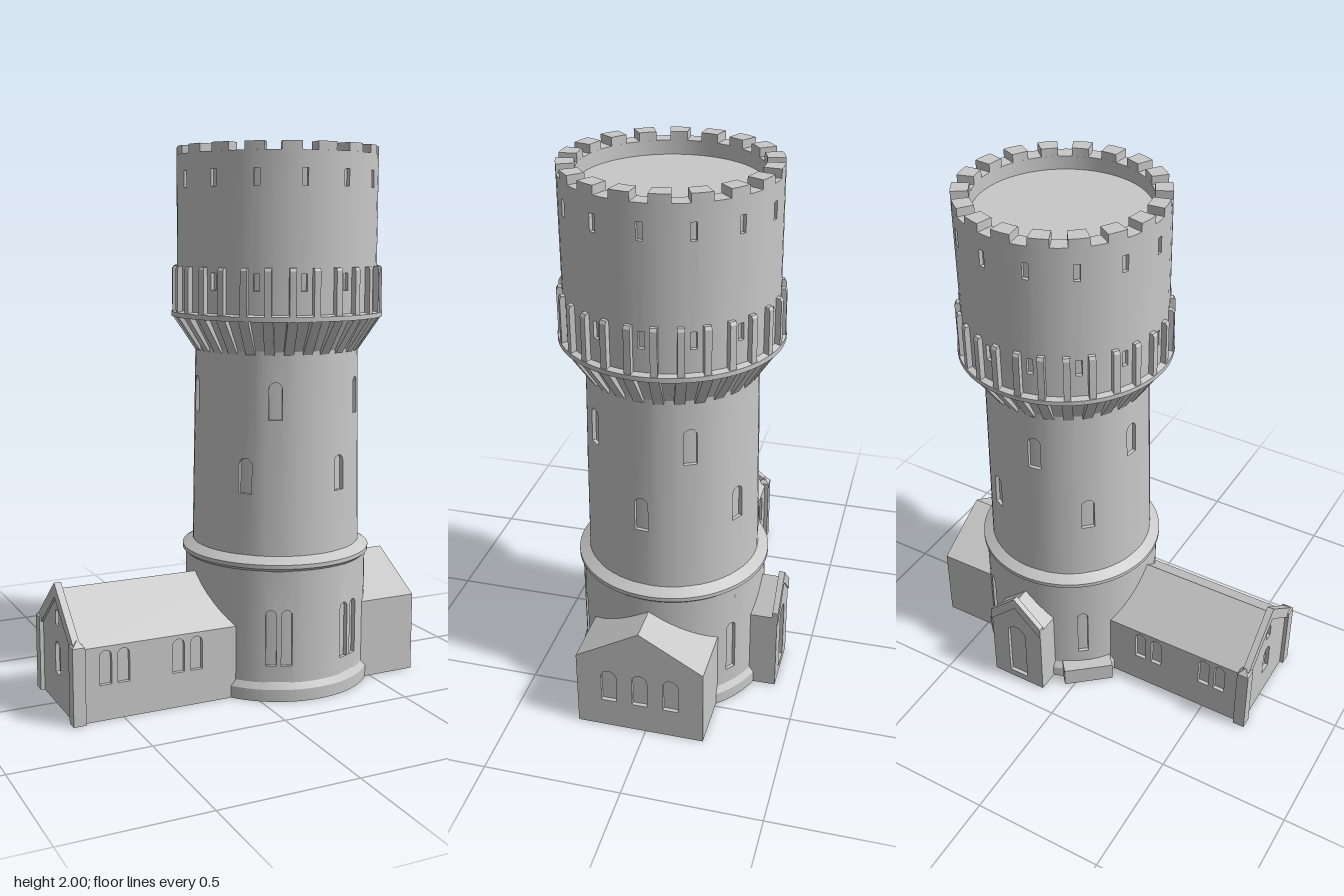
import * as THREE from 'three';
import { mergeGeometries, toCreasedNormals } from 'three/addons/utils/BufferGeometryUtils.js';

const stone = new THREE.MeshStandardMaterial({ color: 0xc8c8c8 });
stone.name = 'stone';
const DEG = Math.PI / 180;

function add(parent, name, geo, x = 0, y = 0, z = 0, ry = 0) {
  const m = new THREE.Mesh(geo, stone);
  m.name = name;
  m.position.set(x, y, z);
  m.rotation.y = ry;
  parent.add(m);
  return m;
}

const poly = (pts) => new THREE.Shape(pts.map(([x, y]) => new THREE.Vector2(x, y)));
const extrude = (shape, depth, curveSegments = 8) =>
  new THREE.ExtrudeGeometry(shape, { depth, bevelEnabled: false, curveSegments });
const lathe = (pts) =>
  toCreasedNormals(new THREE.LatheGeometry(pts.map(([r, y]) => new THREE.Vector2(r, y)), 72), 0.35);

// Window opening: round-headed, or plain rectangle
function opening({ x = 0, w, y0, y1, square = false }) {
  const p = new THREE.Path();
  const h = w / 2;
  p.moveTo(x - h, y0);
  p.lineTo(x + h, y0);
  if (square) {
    p.lineTo(x + h, y1);
    p.lineTo(x - h, y1);
  } else {
    p.lineTo(x + h, y1 - h);
    p.absarc(x, y1 - h, h, 0, Math.PI, false);
  }
  p.closePath();
  return p;
}

// Round wall with recessed windows: bent strips in front of a plain inner drum.
// columns: [{ angle, half, holes }] in degrees, hole x measured along the wall
function drum(parent, name, r0, r1, y0, y1, columns, depth = 0.015) {
  const strips = [];
  const strip = (a, b, holes = []) => {
    const mid = (a + b) / 2, h = ((b - a) / 2) * DEG * r0;
    const shape = poly([[-h, y0], [h, y0], [h, y1], [-h, y1]]);
    shape.holes = holes.map(opening);
    const g = extrude(shape, depth);
    const p = g.attributes.position;
    for (let i = 0; i < p.count; i++) {
      const y = p.getY(i);
      const r = r0 + ((r1 - r0) * (y - y0)) / (y1 - y0) - depth + p.getZ(i);
      const t = mid * DEG + p.getX(i) / r0;
      p.setXYZ(i, r * Math.sin(t), y, r * Math.cos(t));
    }
    strips.push(g);
  };
  const cols = [...columns].sort((a, b) => a.angle - b.angle);
  cols.forEach((c, i) => {
    const start = c.angle + c.half;
    strip(c.angle - c.half, start, c.holes);
    const next = i + 1 < cols.length ? cols[i + 1] : { ...cols[0], angle: cols[0].angle + 360 };
    const end = next.angle - next.half;
    const n = Math.max(1, Math.ceil((end - start) / 6));
    for (let k = 0; k < n; k++) {
      strip(start + ((end - start) * k) / n, start + ((end - start) * (k + 1)) / n);
    }
  });
  add(parent, name, toCreasedNormals(mergeGeometries(strips), 0.4));
  add(parent, name + 'Recess', lathe([[r0 - depth + 0.001, y0], [r1 - depth + 0.001, y1]]));
}

// Gabled building running along local +z, gable end at z = len
function house(parent, name, { hw, eave, ridge, len, x, z, ry, sideWindows = [], endWindows = [] }) {
  const g = new THREE.Group();
  g.name = name;
  g.position.set(x, 0, z);
  g.rotation.y = ry;
  parent.add(g);
  const t = 0.015;
  add(g, 'core', new THREE.BoxGeometry(2 * (hw - t), eave, len - t), 0, eave / 2, (len - t) / 2);
  add(g, 'roof', extrude(poly([[-hw, eave], [hw, eave], [0, ridge]]), len - t));
  const end = poly([[-hw, 0], [hw, 0], [hw, eave], [0, ridge], [-hw, eave]]);
  end.holes = endWindows.map(opening);
  add(g, 'gableWall', extrude(end, t), 0, 0, len - t);
  // Side walls; window x is the distance from the start of the wing
  for (const s of [-1, 1]) {
    const wall = poly([[0, 0], [len - t, 0], [len - t, eave], [0, eave]]);
    const mirror = s > 0 ? (v) => len - t - v : (v) => v;
    wall.holes = sideWindows.map((w) => opening({ ...w, x: mirror(w.x) }));
    const m = add(g, 'sideWall', extrude(wall, t));
    m.rotation.y = (s * Math.PI) / 2;
    m.position.set(s * (hw - t), 0, s > 0 ? len - t : 0);
  }
  return g;
}

// Raised strip following a gable
function coping(g, hw, eave, ridge, rise, z, depth) {
  const s = poly([[-hw, eave - 0.03], [0, ridge - 0.03], [hw, eave - 0.03],
    [hw, eave + rise], [0, ridge + rise], [-hw, eave + rise]]);
  add(g, 'coping', extrude(s, depth), 0, 0, z);
}

export function createModel() {
  const model = new THREE.Group();
  model.name = 'castleTower';
  const cx = 0.21, cz = 0.017;
  const tower = new THREE.Group();
  tower.name = 'tower';
  tower.position.set(cx, 0, cz);
  model.add(tower);

  // Ground storey with paired windows at the front
  const tall = { w: 0.04, y0: 0.13, y1: 0.34 };
  const pair = [{ ...tall, x: -0.029 }, { ...tall, x: 0.029 }];
  drum(tower, 'baseWall', 0.345, 0.345, 0, 0.5, [
    { angle: -25, half: 9, holes: pair }, { angle: 25, half: 9, holes: pair },
    { angle: 142, half: 5, holes: [tall] }, { angle: 218, half: 5, holes: [tall] },
  ]);
  add(tower, 'plinth', lathe([[0, 0], [0.36, 0], [0.36, 0.045], [0.343, 0.07]]));
  add(tower, 'collar', lathe([[0.343, 0.485], [0.356, 0.497], [0.356, 0.512], [0.317, 0.535]]));

  // Shaft with two staggered rows of windows
  const col = (y0, y1) => (angle) => ({ angle, half: 6, holes: [{ w: 0.05, y0, y1 }] });
  drum(tower, 'shaft', 0.318, 0.305, 0.52, 1.275, [
    ...[-28, 44, 116, 188, 260].map(col(1.03, 1.165)),
    ...[-48, 20, 84, 151, 224].map(col(0.76, 0.89)),
  ]);

  // Corbelled overhang
  add(tower, 'corbelCone', lathe([[0.298, 1.262], [0.366, 1.385], [0.394, 1.385], [0.394, 1.402], [0.37, 1.408]]));
  const corbel = extrude(poly([[0.29, 1.262], [0.308, 1.262], [0.391, 1.387], [0.34, 1.387]]), 0.036);
  corbel.translate(0, 0, -0.018);
  const rib = extrude(poly([[0.365, 1.4], [0.391, 1.4], [0.391, 1.56], [0.385, 1.57], [0.365, 1.57]]), 0.024);
  rib.translate(0, 0, -0.012);
  for (let i = 0; i < 28; i++) {
    const ry = ((i + 0.5) / 28) * 2 * Math.PI;
    add(tower, 'corbel', corbel, 0, 0, 0, ry);
    add(tower, 'rib', rib, 0, 0, 0, ry);
  }

  // Head of the tower with two rows of slots
  const slot = { w: 0.022, square: true };
  drum(tower, 'upperWall', 0.372, 0.372, 1.4, 1.97, Array.from({ length: 14 }, (_, i) => ({
    angle: ((i + 0.5) * 360) / 14, half: 4,
    holes: [{ ...slot, y0: 1.49, y1: 1.55 }, { ...slot, y0: 1.85, y1: 1.91 }],
  })));
  add(tower, 'parapetAndFloor', lathe([[0.372, 1.97], [0.311, 1.97], [0.311, 1.92], [0, 1.92]]));
  const a = 5.5 * DEG;
  const sector = new THREE.Shape();
  sector.absarc(0, 0, 0.372, -a, a, false);
  sector.absarc(0, 0, 0.311, a, -a, true);
  const merlon = extrude(sector, 0.03, 4).rotateX(-Math.PI / 2);
  for (let i = 0; i < 18; i++) add(tower, 'merlon', merlon, 0, 1.97, 0, -Math.PI / 2 + i * 20 * DEG);

  // Long wing
  const long = house(model, 'longWing', {
    hw: 0.2, eave: 0.27, ridge: 0.437, len: 0.885, x: cx, z: 0.03, ry: -Math.PI / 2,
    sideWindows: [-0.565, -0.498, -0.288, -0.218].map((x) => ({ x: cx - x, w: 0.045, y0: 0.13, y1: 0.255 })),
    endWindows: [{ w: 0.055, y0: 0.12, y1: 0.24 }, { w: 0.035, y0: 0.3, y1: 0.36 }],
  });
  coping(long, 0.2, 0.27, 0.437, 0.023, 0.868, 0.026);
  for (const s of [-1, 1]) {
    add(long, 'cornerPier', new THREE.BoxGeometry(0.046, 0.282, 0.046), s * 0.193, 0.141, 0.877);
    const cap = new THREE.ConeGeometry(0.0325, 0.022, 4, 1).toNonIndexed();
    cap.computeVertexNormals();
    add(long, 'pierCap', cap, s * 0.193, 0.293, 0.877, Math.PI / 4);
  }

  // Short wing with three windows
  house(model, 'shortWing', {
    hw: 0.235, eave: 0.3, ridge: 0.437, len: 0.48, x: cx, z: 0.02, ry: Math.PI / 2,
    endWindows: [-0.115, 0, 0.115].map((x) => ({ x, w: 0.057, y0: 0.115, y1: 0.25 })),
  });

  // Rear porch with doorway
  const porch = house(model, 'porch', {
    hw: 0.113, eave: 0.315, ridge: 0.425, len: 0.425, x: cx + 0.003, z: cz, ry: Math.PI,
    endWindows: [{ w: 0.08, y0: 0.03, y1: 0.29 }],
  });
  coping(porch, 0.115, 0.32, 0.43, 0.018, 0.407, 0.022);

  // Low block at the foot of the tower
  const block = new THREE.BoxGeometry(0.195, 0.075, 0.1);
  const dir = 220 * DEG;
  add(model, 'stepBlock', block, cx + 0.342 * Math.sin(dir), 0.0375, cz + 0.342 * Math.cos(dir), dir);

  return model;
}
